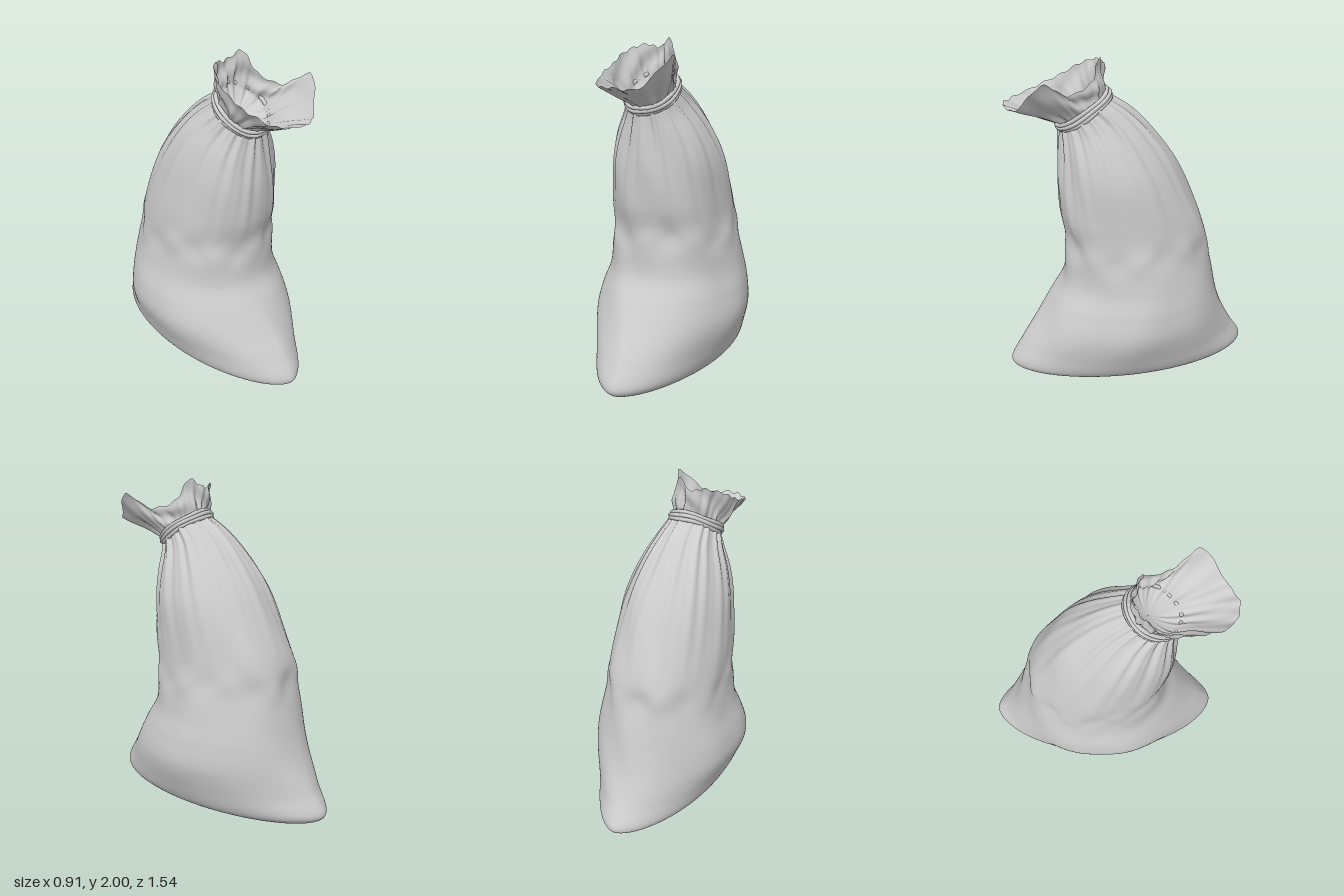
import * as THREE from 'three';

const V = (x, y, z) => new THREE.Vector3(x, y, z);
const TAU = Math.PI * 2;

// Smooth surface through rings of points; point(a, t) with a around and t along
function loft(name, point, around, along, side = THREE.FrontSide) {
  const pos = [], idx = [];
  for (let j = 0; j <= along; j++)
    for (let i = 0; i < around; i++) pos.push(...point((i / around) * TAU, j / along).toArray());
  for (let j = 0; j < along; j++)
    for (let i = 0; i < around; i++) {
      const k = (i + 1) % around;
      const a = j * around + i, b = j * around + k, c = b + around, d = a + around;
      idx.push(a, b, c, a, c, d);
    }
  const geo = new THREE.BufferGeometry();
  geo.setAttribute('position', new THREE.Float32BufferAttribute(pos, 3));
  geo.setIndex(idx);
  geo.computeVertexNormals();
  const mesh = new THREE.Mesh(geo, new THREE.MeshStandardMaterial({ color: 0xcccccc, side }));
  mesh.name = name;
  return mesh;
}

// Sack cross-sections: front y, front z, back y, back z, half width, pointedness
const sections = [
  [0.02, 0.01, 0.02, -0.01, 0.01, 1.2],
  [0.012, 0.45, 0.012, -0.45, 0.17, 1.2],
  [0.02, 0.72, 0.02, -0.72, 0.27, 1.2],
  [0.07, 0.77, 0.07, -0.77, 0.345, 1.2],
  [0.2, 0.7, 0.2, -0.7, 0.405, 1.2],
  [0.36, 0.59, 0.36, -0.62, 0.455, 1.15],
  [0.5, 0.5, 0.5, -0.57, 0.44, 1.05],
  [0.63, 0.42, 0.65, -0.53, 0.4, 0.95],
  [0.78, 0.4, 0.82, -0.485, 0.37, 0.88],
  [0.9, 0.39, 0.95, -0.465, 0.355, 0.88],
  [1.05, 0.42, 1.15, -0.385, 0.34, 0.9],
  [1.25, 0.43, 1.4, -0.265, 0.31, 0.95],
  [1.42, 0.42, 1.57, -0.14, 0.255, 1],
  [1.53, 0.41, 1.7, -0.01, 0.19, 1],
  [1.6, 0.405, 1.79, 0.125, 0.145, 1],
];
const frontCurve = new THREE.CatmullRomCurve3(sections.map(s => V(s[4], s[0], s[1])));
const backCurve = new THREE.CatmullRomCurve3(sections.map(s => V(s[5], s[2], s[3])));

function sackPoint(a, t) {
  const f = frontCurve.getPoint(t), b = backCurve.getPoint(t);
  const c = Math.cos(a), s = Math.sin(a);
  const p = V(
    f.x * Math.sign(s) * Math.abs(s) ** b.x,
    (f.y + b.y) / 2 + (c * (f.y - b.y)) / 2,
    (f.z + b.z) / 2 + (c * (f.z - b.z)) / 2
  );
  // soft dents, a sagging fold at mid height, and pleats gathering to the neck
  const y = p.y;
  const dents = 0.008 * Math.sin(5 * a + 4 * y) * Math.sin(7 * y + 2 * Math.sin(2 * a));
  const fold = 0.009 * Math.exp(-(((y - 0.85 - 0.03 * Math.sin(4 * a)) / 0.07) ** 2)) * Math.sin(9 * a + 1);
  const g = THREE.MathUtils.smoothstep(t, 0.6, 0.97);
  const pleats = 0.007 * g * (Math.sin(17 * a + Math.sin(3 * a)) + 0.6 * Math.sin(29 * a + 2));
  const d = (dents + fold + pleats) * THREE.MathUtils.smoothstep(y, 0.03, 0.3);
  p.x += s * d;
  p.z += c * d;
  return p;
}

// Tilted neck: frame and oval
const neckCentre = V(0, 1.7, 0.265);
const neckFront = V(0, -0.555, 0.832);
const neckUp = V(0, 0.832, 0.555);
const neckPoint = (a, rx, rz, lift) => neckCentre.clone()
  .addScaledVector(V(1, 0, 0), Math.sin(a) * rx)
  .addScaledVector(neckFront, Math.cos(a) * rz)
  .addScaledVector(neckUp, lift);

// Ragged edge of the open mouth, from the front lip round by the left
const rim = new THREE.CatmullRomCurve3([
  V(0, 1.75, 0.725), V(0.13, 1.745, 0.67), V(0.26, 1.91, 0.52), V(0.19, 1.83, 0.38),
  V(0.13, 1.88, 0.24), V(0.07, 2.0, 0.185), V(-0.02, 1.95, 0.14), V(-0.1, 1.965, 0.16),
  V(-0.18, 1.93, 0.24), V(-0.2, 1.86, 0.37), V(-0.185, 1.8, 0.52), V(-0.12, 1.755, 0.67),
], true);

function mouthPoint(a, t) {
  const crumple = Math.sin(13 * a + 2 * Math.sin(2 * a)) + 0.6 * Math.sin(23 * a + 1);
  // pinched throat first, then the flaring cloth
  if (t < 0.3) {
    const u = t / 0.3;
    const r = 0.02 + 0.98 * u + 0.05 * u * crumple;
    return neckPoint(a, 0.135 * r, 0.155 * r, -0.06 * (1 - u * u) + 0.01);
  }
  const u = (t - 0.3) / 0.7;
  const r = 1 + 0.05 * crumple;
  const p = neckPoint(a, 0.135 * r, 0.155 * r, 0.01).lerp(rim.getPoint(a / TAU), u);
  const d = 0.008 * crumple * u * (1 - u * 0.6) + 0.012 * Math.sin(Math.PI * u) * Math.sin(5 * a + 5 * u);
  p.x += Math.sin(a) * d;
  p.z += Math.cos(a) * d;
  p.y += 0.006 * u * Math.sin(19 * a);
  return p;
}

export function createModel() {
  const model = new THREE.Group();
  model.name = 'tiedSack';
  model.add(loft('sackBody', sackPoint, 160, 120));
  model.add(loft('openMouth', mouthPoint, 160, 36, THREE.DoubleSide));

  // Three turns of cord round the neck
  const cord = new THREE.Group();
  cord.name = 'neckCord';
  [-0.02, 0, 0.02].forEach((lift, n) => {
    const grow = n === 1 ? 0.006 : 0;
    const pts = Array.from({ length: 24 }, (_, i) =>
      neckPoint((i / 24) * TAU, 0.15 + grow, 0.178 + grow, lift + 0.003 * Math.sin(i + n)));
    const turn = new THREE.Mesh(
      new THREE.TubeGeometry(new THREE.CatmullRomCurve3(pts, true), 72, 0.0125, 8, true),
      new THREE.MeshStandardMaterial({ color: 0xcccccc })
    );
    turn.name = 'cordTurn' + (n + 1);
    cord.add(turn);
  });
  model.add(cord);
  return model;
}
